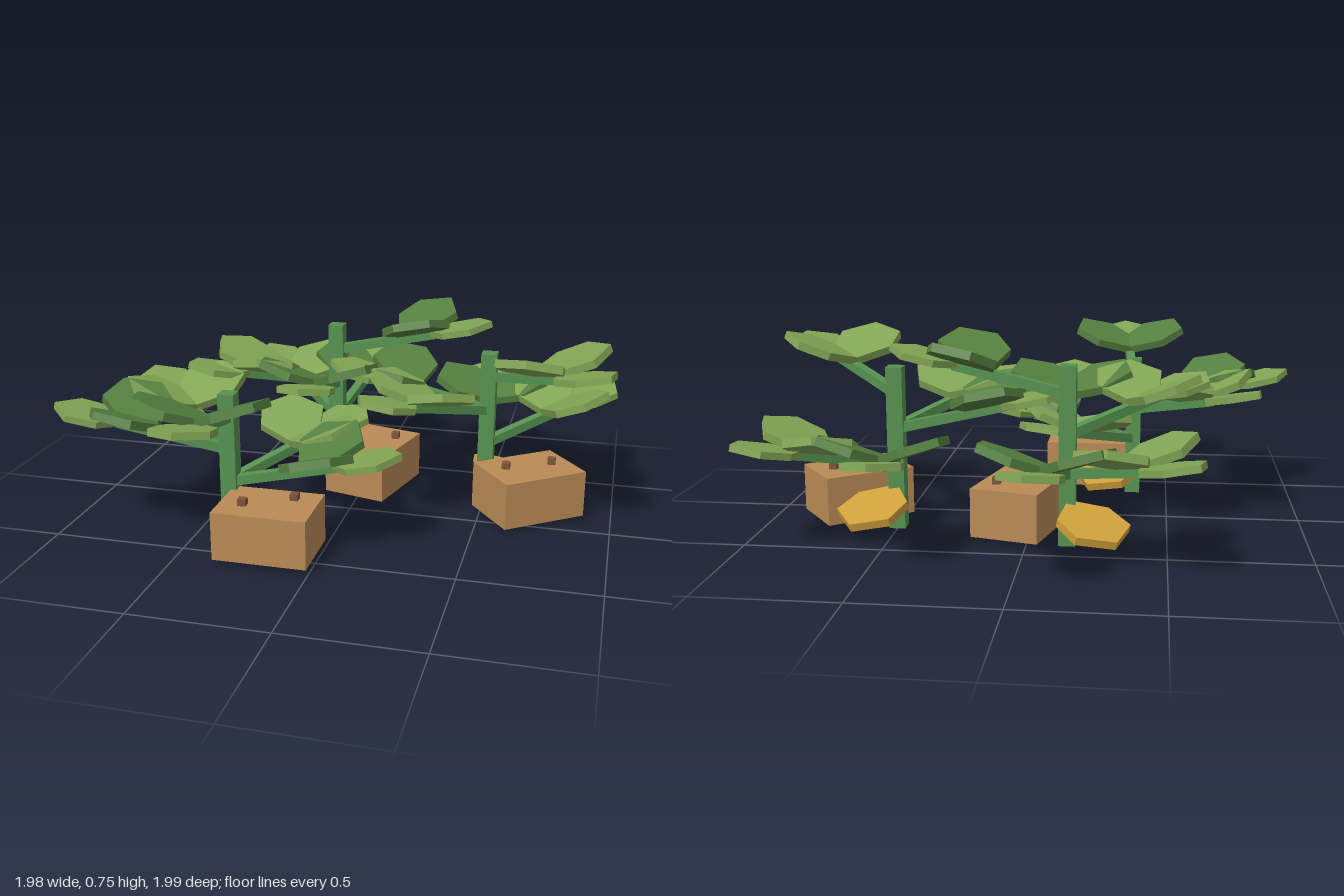
import * as THREE from 'three';

const mat = (color) => new THREE.MeshStandardMaterial({ color, flatShading: true });
const stemMat = mat(0x569250);
const darkMat = mat(0x55803f);
const lightMat = mat(0x82a554);
const yellowMat = mat(0xd0a03c);
const boxMat = mat(0xb98a55);
const knobMat = mat(0x7d5538);

// six-sided leaf slab, base at the origin, pointing along +x
function leafGeometry(length, halfWidth, thickness) {
  const outline = [[0, 0], [0.32, -0.95], [0.74, -1], [1, 0], [0.74, 1], [0.32, 0.95]];
  const shape = new THREE.Shape(outline.map(([u, w]) => new THREE.Vector2(u * length, w * halfWidth)));
  const geo = new THREE.ExtrudeGeometry(shape, { depth: thickness, bevelEnabled: false });
  return geo.rotateX(-Math.PI / 2).translate(0, -thickness / 2, 0);
}
const sideLeafGeo = leafGeometry(0.285, 0.12, 0.03);
const tipLeafGeo = leafGeometry(0.27, 0.1, 0.025);

function add(parent, name, geometry, material, x = 0, y = 0, z = 0) {
  const mesh = new THREE.Mesh(geometry, material);
  mesh.name = name;
  mesh.position.set(x, y, z);
  parent.add(mesh);
  return mesh;
}

// rising stalk with a tip leaf and two upturned side leaves
function makeBranch(sideMat) {
  const branch = new THREE.Group();
  branch.name = 'branch';
  add(branch, 'stalk', new THREE.BoxGeometry(0.42, 0.035, 0.035), stemMat, 0.21, 0, 0);
  add(branch, 'tipLeaf', tipLeafGeo, lightMat, 0.385, 0.005, 0);
  for (const s of [1, -1]) {
    const leaf = add(branch, 'sideLeaf', sideLeafGeo, sideMat, 0.275, 0.022, 0);
    leaf.rotation.set(-s * 0.3, -s * 0.85, 0);
  }
  return branch;
}

function makePlant({ x, z, height, start, boxTurn, yellow, shade }) {
  const plant = new THREE.Group();
  plant.name = 'plant';
  plant.position.set(x, 0, z);
  add(plant, 'stem', new THREE.BoxGeometry(0.06, height, 0.06), stemMat, 0, height / 2, 0);

  // five branches, spiralling round the stem on three levels
  for (let i = 0; i < 5; i++) {
    const branch = makeBranch((i + shade) % 2 ? lightMat : darkMat);
    branch.position.y = height * [0.4, 0.62, 0.84][i % 3];
    branch.rotation.order = 'YZX';
    branch.rotation.y = -THREE.MathUtils.degToRad(start - i * 137.5);
    branch.rotation.z = 0.225;
    plant.add(branch);
  }

  // drooping withered leaf low on the stem
  const withered = add(plant, 'witheredLeaf', sideLeafGeo, yellowMat, 0, 0.15, 0);
  withered.rotation.order = 'YZX';
  withered.rotation.y = -THREE.MathUtils.degToRad(yellow);
  withered.rotation.z = -0.3;

  // block at the foot with two small studs
  const block = add(plant, 'block', new THREE.BoxGeometry(0.345, 0.18, 0.255), boxMat, 0.182, 0.11, 0.118);
  block.rotation.y = boxTurn;
  for (const [dx, dz] of [[-0.085, 0.033], [0.08, -0.057]]) {
    add(plant, 'stud', new THREE.BoxGeometry(0.03, 0.03, 0.03), knobMat, 0.182 + dx, 0.21, 0.118 + dz);
  }
  return plant;
}

export function createModel() {
  const model = new THREE.Group();
  model.name = 'plants';
  const plants = [
    { x: -0.36, z: 0.355, height: 0.56, start: 0, boxTurn: 0, yellow: 310, shade: 0 },
    { x: 0.5, z: -0.225, height: 0.61, start: 318, boxTurn: 0.64, yellow: 296, shade: 1 },
    { x: -0.145, z: -0.365, height: 0.65, start: 278, boxTurn: 1.32, yellow: 228, shade: 0 },
  ];
  for (const p of plants) model.add(makePlant(p));
  return model;
}
